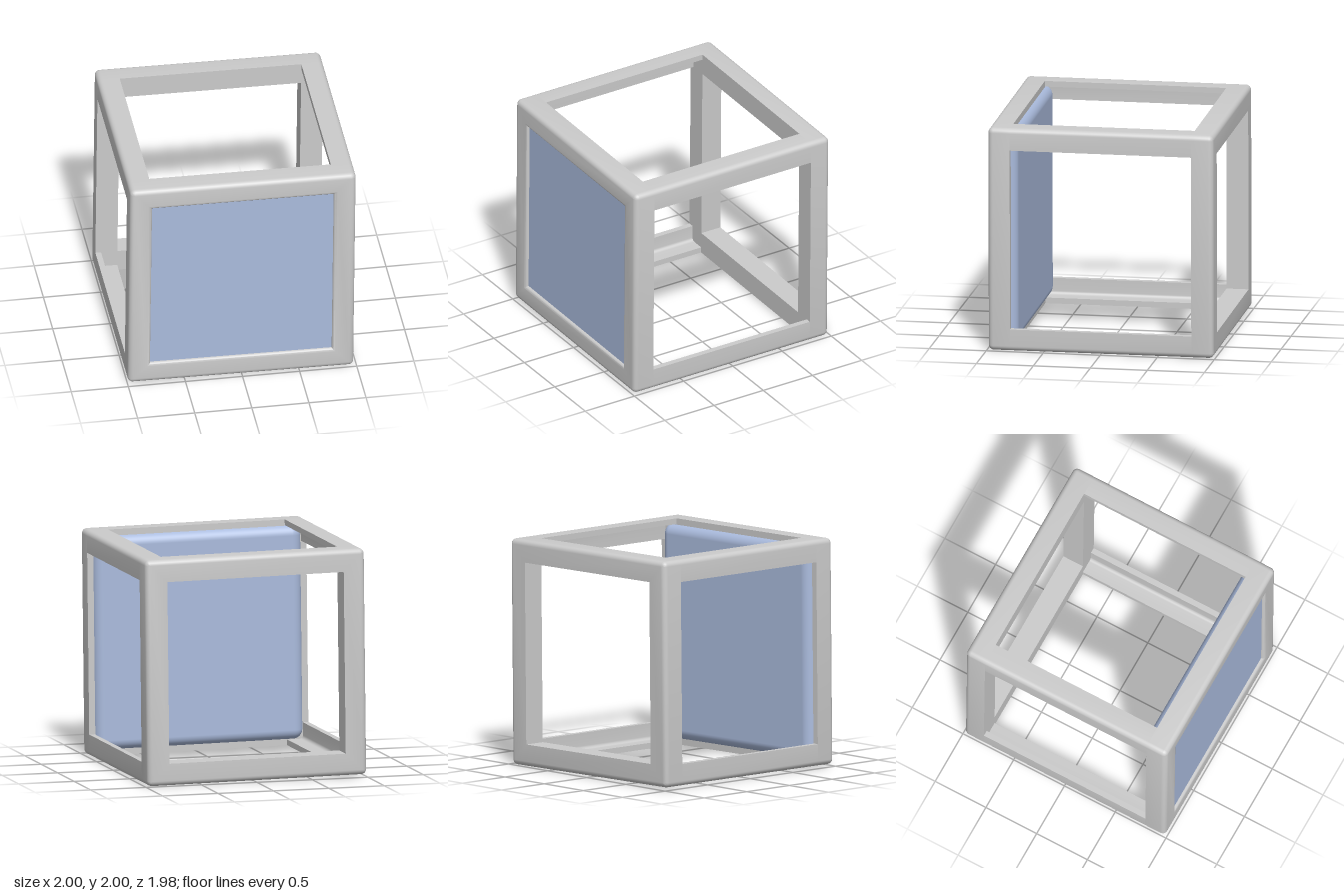
import * as THREE from 'three';
import { toCreasedNormals } from 'three/addons/utils/BufferGeometryUtils.js';
import { RoundedBoxGeometry } from 'three/addons/geometries/RoundedBoxGeometry.js';

const HALF = 0.988;      // half size of the cube
const HOLE = 0.795;      // half size of the openings
const R = 0.045;         // edge rounding
const CORE = HALF - R;
const WALL = 0.05;       // thickness of the angle-section rails
const STEPS = 6;

// Points on a quarter round, from angle a0 to a1
function arc(cx, cy, r, a0, a1) {
  return Array.from({ length: STEPS + 1 }, (_, i) => {
    const a = a0 + (a1 - a0) * i / STEPS;
    return [cx + r * Math.cos(a), cy + r * Math.sin(a)];
  });
}

// Sweep a closed (distance, z) profile around a square; outside corners are rounded
function squareRing(profile) {
  const pos = [], index = [];
  const ring = 4 * (STEPS + 1), n = profile.length;
  for (const [d, z] of profile) {
    const c = Math.min(d, CORE), r = Math.max(d - CORE, 0);
    for (let k = 0; k < 4; k++) {
      const mid = Math.PI / 4 + k * Math.PI / 2;
      for (let j = 0; j <= STEPS; j++) {
        const a = k * Math.PI / 2 + j / STEPS * Math.PI / 2;
        pos.push(c * Math.SQRT2 * Math.cos(mid) + r * Math.cos(a),
          c * Math.SQRT2 * Math.sin(mid) + r * Math.sin(a), z);
      }
    }
  }
  for (let i = 0; i < n; i++) {
    for (let s = 0; s < ring; s++) {
      const i2 = (i + 1) % n, s2 = (s + 1) % ring;
      const a = i * ring + s, b = i * ring + s2, c = i2 * ring + s2, d = i2 * ring + s;
      index.push(a, b, c, a, c, d);
    }
  }
  const g = new THREE.BufferGeometry();
  g.setAttribute('position', new THREE.Float32BufferAttribute(pos, 3));
  g.setIndex(index);
  return toCreasedNormals(g, 0.6);
}

export function createModel() {
  const model = new THREE.Group();
  const cube = new THREE.Group();
  cube.name = 'openCube';
  cube.position.y = 1;
  cube.rotation.z = -0.0115;
  model.add(cube);

  const grey = new THREE.MeshStandardMaterial({ color: 0xcccccc });
  const blue = new THREE.MeshStandardMaterial({ color: 0xaabbdd });
  const add = (name, geometry, material) => {
    const mesh = new THREE.Mesh(geometry, material);
    mesh.name = name;
    cube.add(mesh);
    return mesh;
  };

  // Front frame, with a softened opening around the panel
  add('frontFrame', squareRing([
    [HOLE, HOLE], [HALF, HOLE],
    ...arc(CORE, CORE, R, 0, Math.PI / 2),
    ...arc(HOLE + 0.03, HALF - 0.03, 0.03, Math.PI / 2, Math.PI),
  ]), grey);

  // Back frame, with a sharp opening
  add('backFrame', squareRing([
    ...arc(CORE, -CORE, R, -Math.PI / 2, 0),
    [HALF, -HOLE], [HOLE, -HOLE], [HOLE, -HALF],
  ]), grey);

  // Four angle-section rails joining the frames
  const section = new THREE.Shape([
    [HOLE, HALF - WALL], ...arc(HALF - WALL - 0.03, HALF - WALL - 0.03, 0.03, Math.PI / 2, 0),
    [HALF - WALL, HOLE], [HALF, HOLE],
    ...arc(CORE, CORE, R, 0, Math.PI / 2), [HOLE, HALF],
  ].map(([x, y]) => new THREE.Vector2(x, y)));
  const railGeometry = toCreasedNormals(
    new THREE.ExtrudeGeometry(section, { depth: 2 * HOLE, bevelEnabled: false }), 0.6);
  railGeometry.translate(0, 0, -HOLE);
  ['topLeftRail', 'topRightRail', 'bottomRightRail', 'bottomLeftRail'].forEach((name, k) => {
    add(name, railGeometry, grey).rotation.z = k * Math.PI / 2;
  });

  // Rounded panel filling the front frame and standing slightly proud inside
  add('frontPanel', new RoundedBoxGeometry(1.88, 1.88, 0.22, 5, 0.09), blue).position.z = 0.85;

  return model;
}
